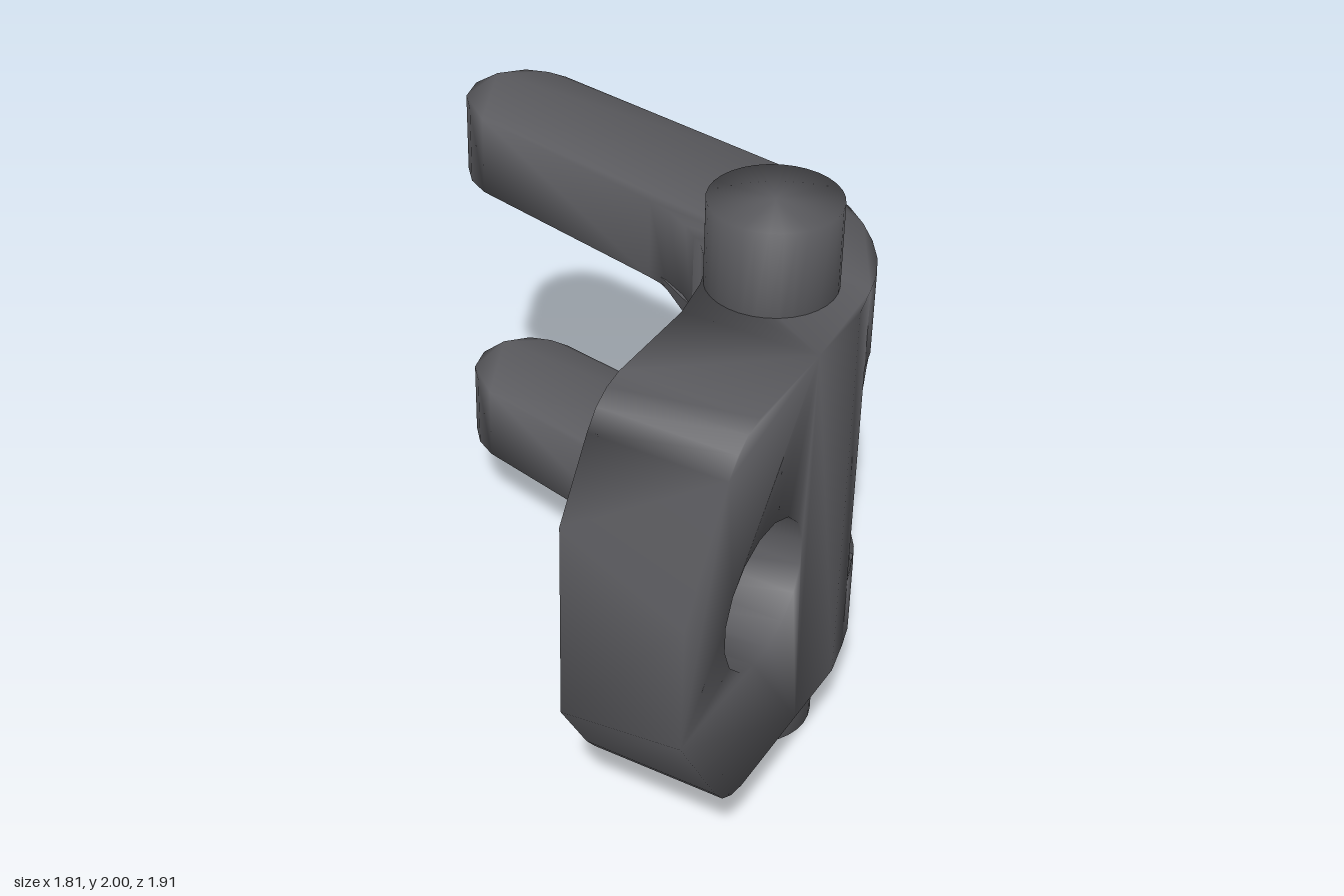
import * as THREE from 'three';
import { mergeGeometries, mergeVertices } from 'three/addons/utils/BufferGeometryUtils.js';

const Y0 = 0.3, Y1 = 1.71, LOW = 0.58, HIGH = 1.425;   // body and slot heights
const SEAM = 0.17, WEB = -0.23;                        // z where plate, web and arms join

// inner and outer edges of the bend, as [x, z]
const innerWeb = [[0.44, SEAM], [0.41, 0], [0.375, -0.1], [0.3, -0.2], [0.26, WEB]];
const innerArm = [[0.26, WEB], [0.2, -0.28], [0.11, -0.33], [0.03, -0.355]];
const outerWeb = [[0.9, SEAM], [0.9, -0.1], [0.873, WEB]];
const outerArm = [[0.873, WEB], [0.85, -0.32], [0.81, -0.41], [0.75, -0.5], [0.68, -0.58],
  [0.6, -0.65], [0.52, -0.705], [0.42, -0.75], [0.3, -0.78]];
const armTip = [[-0.66, -0.96], [-0.73, -0.96], [-0.81, -0.935], [-0.88, -0.86], [-0.905, -0.76],
  [-0.88, -0.66], [-0.82, -0.59], [-0.74, -0.545]];

const toShape = (pts) => new THREE.Shape(pts.map(([a, b]) => new THREE.Vector2(a, b)));

// plan outline [x, z] raised from y0 to y1
function fromPlan(pts, y0, y1) {
  const g = new THREE.ExtrudeGeometry(toShape(pts.map(([x, z]) => [x, -z])),
    { depth: y1 - y0, bevelEnabled: false });
  return g.rotateX(-Math.PI / 2).translate(0, y0, 0);
}

// side outline [z, y] stretched from x0 to x1
function fromSide(shape, x0, x1) {
  const g = new THREE.ExtrudeGeometry(shape, { depth: x1 - x0, bevelEnabled: false });
  return g.rotateY(Math.PI / 2).translate(x0, 0, 0);
}

// remove hidden faces lying in the planes z = values
function openAt(g, values) {
  const p = g.attributes.position, keep = [];
  for (let i = 0; i < p.count; i += 3) {
    const hidden = values.some((v) => [0, 1, 2].every((k) => Math.abs(p.getZ(i + k) - v) < 1e-4));
    if (hidden) continue;
    for (let k = 0; k < 3; k++) keep.push(p.getX(i + k), p.getY(i + k), p.getZ(i + k));
  }
  const out = new THREE.BufferGeometry();
  out.setAttribute('position', new THREE.Float32BufferAttribute(keep, 3));
  return out;
}

// weld corners so that shading flows softly over the edges
function soften(g) {
  g.deleteAttribute('normal');
  g.deleteAttribute('uv');
  const out = mergeVertices(g, 1e-4);
  out.computeVertexNormals();
  return out;
}

// x of an edge at a given z
function edgeX(pts, z) {
  for (let i = 1; i < pts.length; i++) {
    const [xa, za] = pts[i - 1], [xb, zb] = pts[i];
    if (z >= zb) return xa + (xb - xa) * (z - za) / (zb - za);
  }
  return pts[pts.length - 1][0];
}

function makePlate() {
  const side = [[SEAM, Y0], [0.54, Y0], [0.61, 0.315], [0.67, 0.35], [0.72, 0.41], [0.955, 0.78],
    [0.955, 1.23], [0.72, 1.6], [0.67, 1.66], [0.61, 1.695], [0.54, Y1], [SEAM, Y1]];
  const shape = toShape(side.map(([z, y]) => [-z, y]));
  const hole = [];
  for (let i = 0; i < 16; i++) {
    const a = (i + 0.5) * Math.PI / 8;
    hole.push(new THREE.Vector2(-0.453 + 0.25 * Math.cos(a), 1.01 + 0.245 * Math.sin(a)));
  }
  shape.holes.push(new THREE.Path(hole));
  const g = fromSide(shape, 0.44, 0.9);
  // slanted nose: the inner edge is cut further back and so is taller
  const p = g.attributes.position;
  for (let i = 0; i < p.count; i++) {
    if (p.getZ(i) > 0.94 && p.getX(i) < 0.5) {
      p.setZ(i, 0.873);
      p.setY(i, p.getY(i) > 1 ? 1.36 : 0.65);
    }
  }
  return openAt(g, [SEAM]);
}

// rounded rear edge of the web, following the bend on both sides
function makeSlotEdge() {
  const slot = [[-0.22, 0.55], [-0.22, 1.45], [-0.37, 1.45], [-0.37, HIGH], [-0.33, 1.415],
    [-0.28, 1.385], [-0.245, 1.33], [WEB, 1.28], [WEB, 0.72], [-0.245, 0.68], [-0.28, 0.625],
    [-0.33, 0.595], [-0.37, LOW], [-0.37, 0.55]];
  const g = fromSide(toShape(slot.map(([z, y]) => [-z, y])), 0, 1);
  const inner = [...innerWeb, ...innerArm.slice(1)], outer = [...outerWeb, ...outerArm.slice(1)];
  const p = g.attributes.position;
  for (let i = 0; i < p.count; i++) {
    const z = p.getZ(i);
    p.setX(i, p.getX(i) < 0.5 ? edgeX(inner, z) + 0.003 : edgeX(outer, z) - 0.003);
  }
  g.computeVertexNormals();
  return g;
}

export function createModel() {
  const group = new THREE.Group();
  const darkGrey = new THREE.MeshStandardMaterial({ color: 0x5c5c60 });
  darkGrey.name = 'darkGrey';
  const add = (name, g) => {
    const m = new THREE.Mesh(g, darkGrey);
    m.name = name;
    group.add(m);
  };

  // plate, web and the two bent arms form one body
  const web = openAt(fromPlan([...innerWeb, ...[...outerWeb].reverse()], Y0, Y1), [SEAM, WEB]);
  const armPlan = [...outerArm, ...armTip, ...[...innerArm].reverse()];
  const arms = [[Y0, LOW], [HIGH, Y1]].map(([a, b]) => openAt(fromPlan(armPlan, a, b), [WEB]));
  add('bracketBody', soften(mergeGeometries([makePlate(), web, ...arms])));
  add('slotEdge', makeSlotEdge());

  // hinge pins above and below
  for (const [name, a, b] of [['lowerPin', 0, Y0 + 0.1], ['upperPin', Y1 - 0.1, 2]]) {
    const g = new THREE.CylinderGeometry(0.21, 0.21, b - a, 32);
    add(name, soften(g.translate(0.59, (a + b) / 2, -0.122)));
  }
  return group;
}
